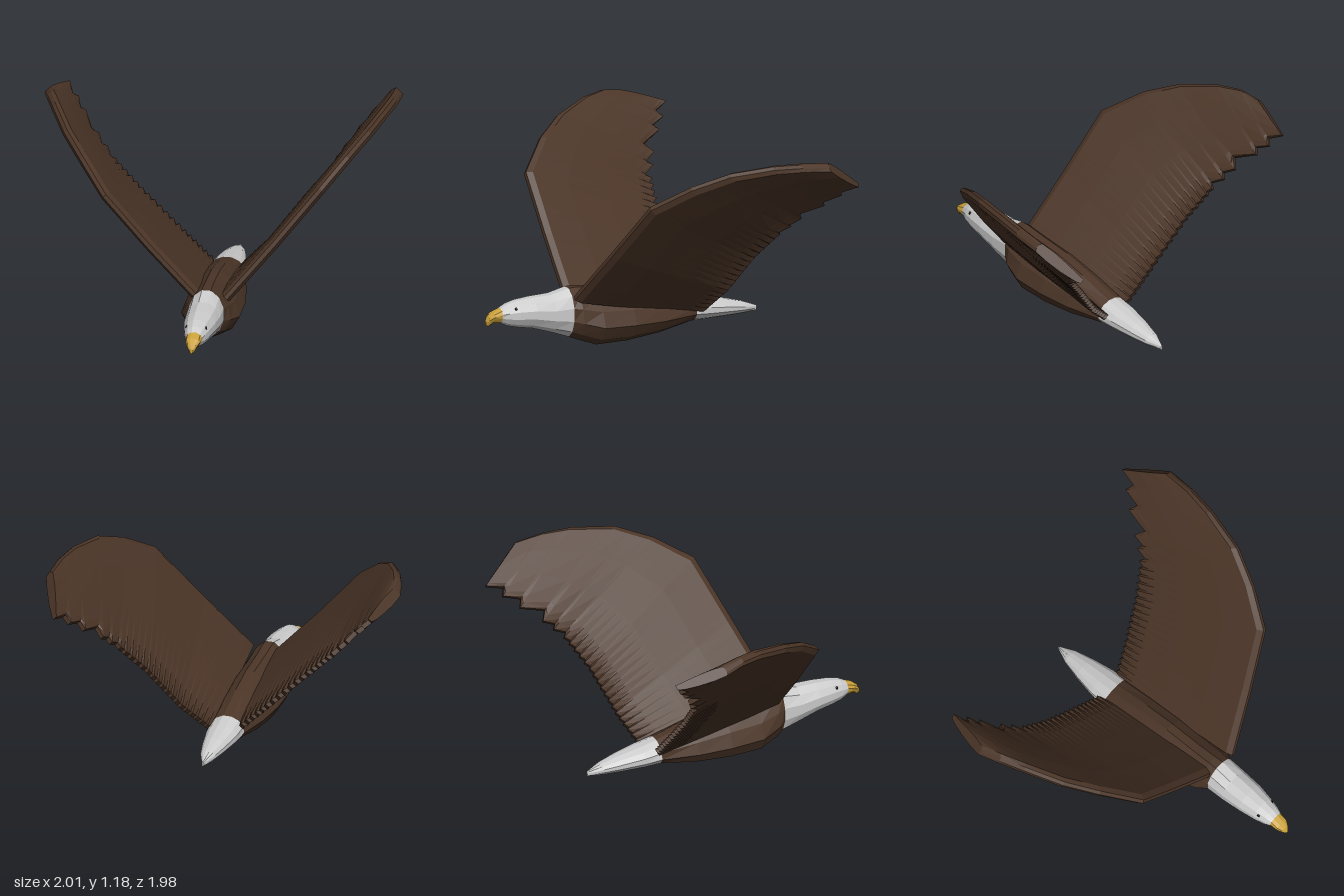
import * as THREE from 'three';

const material = (color) => new THREE.MeshStandardMaterial({ color, flatShading: true });
const brown = material(0x4b3527);
const white = material(0xcccccc);
const yellow = material(0xc9a03a);
const black = material(0x111111);

// Skins a list of closed rings (equal point counts) and caps both ends.
function loft(rings) {
  const n = rings[0].length;
  const tris = [];
  for (let i = 0; i < rings.length - 1; i++) {
    for (let j = 0; j < n; j++) {
      const k = (j + 1) % n;
      const [a, b, c, d] = [rings[i][j], rings[i][k], rings[i + 1][k], rings[i + 1][j]];
      tris.push([a, b, c], [a, c, d]);
    }
  }
  const cap = (ring, flip) => {
    const mid = ring.reduce((s, p) => s.add(p), new THREE.Vector3()).divideScalar(n);
    ring.forEach((p, j) => {
      const q = ring[(j + 1) % n];
      tris.push(flip ? [mid, q, p] : [mid, p, q]);
    });
  };
  cap(rings[0], true);
  cap(rings[rings.length - 1], false);
  // Signed volume tells whether the faces point inward.
  const volume = tris.reduce((s, [a, b, c]) => s + a.dot(b.clone().cross(c)), 0);
  const points = tris.flatMap(([a, b, c]) => (volume < 0 ? [a, c, b] : [a, b, c]));
  const geometry = new THREE.BufferGeometry().setFromPoints(points);
  geometry.computeVertexNormals();
  return geometry;
}

// Egg-shaped section: z, top, bottom, half width, centre x, widening towards the top.
function section([z, top, bottom, half, cx, egg = 0]) {
  return Array.from({ length: 12 }, (_, i) => {
    const a = ((i + 0.5) / 12) * Math.PI * 2;
    return new THREE.Vector3(
      cx + half * 1.03 * Math.cos(a) * (1 + egg * Math.max(Math.sin(a), -0.3)),
      (top + bottom) / 2 + ((top - bottom) / 2) * 1.035 * Math.sin(a),
      z
    );
  });
}

function addMesh(group, name, geometry, mat) {
  const mesh = new THREE.Mesh(geometry, mat);
  mesh.name = name;
  group.add(mesh);
  return mesh;
}

// Wing thickness profile: chord position, half thickness.
const airfoil = [
  [0, 0.012], [0.04, 0.03], [0.3, 0.034], [0.6, 0.03], [0.85, 0.022], [0.94, 0.018], [1, 0.014],
];
const feathersPerPanel = [6, 7, 5, 2, 1, 1, 1];

// Wing through paired leading and trailing edge points, with a saw-toothed feather edge.
function wingGeometry(leading, trailing, normal) {
  const L = leading.map((p) => new THREE.Vector3(...p));
  const T = trailing.map((p) => new THREE.Vector3(...p));
  const up = new THREE.Vector3(...normal).normalize();
  const rings = [];
  const station = (panel, f, notch, ripple) => {
    const a = L[panel].clone().lerp(L[panel + 1], f);
    const b = T[panel].clone().lerp(T[panel + 1], f);
    const chord = b.clone().sub(a).normalize();
    const point = ([u, t], side) =>
      a.clone().lerp(b, u)
        .addScaledVector(chord, -notch * u ** 8)
        .addScaledVector(up, side * t + ripple * u ** 10);
    rings.push([
      ...airfoil.map((p) => point(p, 1)),
      ...airfoil.slice().reverse().map((p) => point(p, -1)),
    ]);
  };
  feathersPerPanel.forEach((count, panel) => {
    const notch = 0.45 * T[panel].distanceTo(T[panel + 1]) / count;
    for (let k = 0; k < count; k++) {
      station(panel, (k + 0.2) / count, notch, -0.006);
      station(panel, (k + 1) / count, 0, 0.006);
    }
  });
  return loft(rings);
}

export function createModel() {
  const group = new THREE.Group();

  // Body, head, tail and beak share their joining sections
  const neck = [0.47, 0.35, 0.065, 0.1, 0.08];
  const rump = [-0.32, 0.205, 0.06, 0.1, 0.062, -0.1];
  const beakBase = [0.9, 0.28, 0.195, 0.045, 0.083, 0.15];
  const parts = [
    ['body', brown, [
      neck, [0.42, 0.35, 0.045, 0.127, 0.077, -0.25], [0.3, 0.335, 0.002, 0.153, 0.073, -0.42],
      [0.1, 0.315, 0.002, 0.153, 0.07, -0.42], [-0.1, 0.27, 0.02, 0.135, 0.066, -0.35], rump]],
    ['head', white, [
      beakBase, [0.86, 0.3, 0.175, 0.06, 0.083], [0.8, 0.314, 0.16, 0.074, 0.082],
      [0.7, 0.322, 0.143, 0.09, 0.082], [0.58, 0.325, 0.105, 0.098, 0.081], neck]],
    ['tail', white, [
      rump, [-0.42, 0.184, 0.058, 0.092, 0.06], [-0.55, 0.157, 0.058, 0.07, 0.06],
      [-0.66, 0.128, 0.06, 0.045, 0.06], [-0.75, 0.093, 0.065, 0.006, 0.06]]],
    ['beak', yellow, [
      beakBase, [0.945, 0.262, 0.2, 0.038, 0.083, 0.4],
      [0.973, 0.242, 0.182, 0.023, 0.083, 0.5], [0.988, 0.215, 0.187, 0.009, 0.083, 0.3]]],
  ];
  for (const [name, mat, rows] of parts) addMesh(group, name, loft(rows.map(section)), mat);

  // Eyes
  for (const [name, x] of [['rightEye', 0.029], ['leftEye', 0.136]]) {
    addMesh(group, name, new THREE.SphereGeometry(0.01, 8, 6), black).position.set(x, 0.275, 0.82);
  }

  // Wings, the left one swept further back
  addMesh(group, 'leftWing', wingGeometry(
    [[0.18, 0.3, 0.48], [0.45, 0.62, 0.365], [0.7, 0.93, 0.25], [0.82, 1.05, 0.05],
      [0.91, 1.125, -0.15], [0.965, 1.15, -0.4], [0.985, 1.145, -0.57], [0.985, 1.125, -0.74]],
    [[0.14, 0.13, -0.38], [0.3, 0.28, -0.45], [0.47, 0.5, -0.53], [0.61, 0.66, -0.62],
      [0.68, 0.755, -0.72], [0.75, 0.835, -0.83], [0.81, 0.9, -0.91], [0.87, 0.955, -0.99]],
    [-0.72, 0.68, -0.1]
  ), brown);
  addMesh(group, 'rightWing', wingGeometry(
    [[0.02, 0.3, 0.46], [-0.25, 0.58, 0.445], [-0.515, 0.875, 0.43], [-0.68, 1.02, 0.25],
      [-0.8, 1.1, 0.08], [-0.9, 1.155, -0.13], [-0.955, 1.165, -0.27], [-0.985, 1.14, -0.39]],
    [[-0.02, 0.15, -0.36], [-0.2, 0.32, -0.37], [-0.45, 0.56, -0.385], [-0.61, 0.71, -0.42],
      [-0.72, 0.83, -0.49], [-0.81, 0.93, -0.57], [-0.86, 0.99, -0.62], [-0.92, 1.06, -0.67]],
    [0.72, 0.68, -0.19]
  ), brown);

  return group;
}
